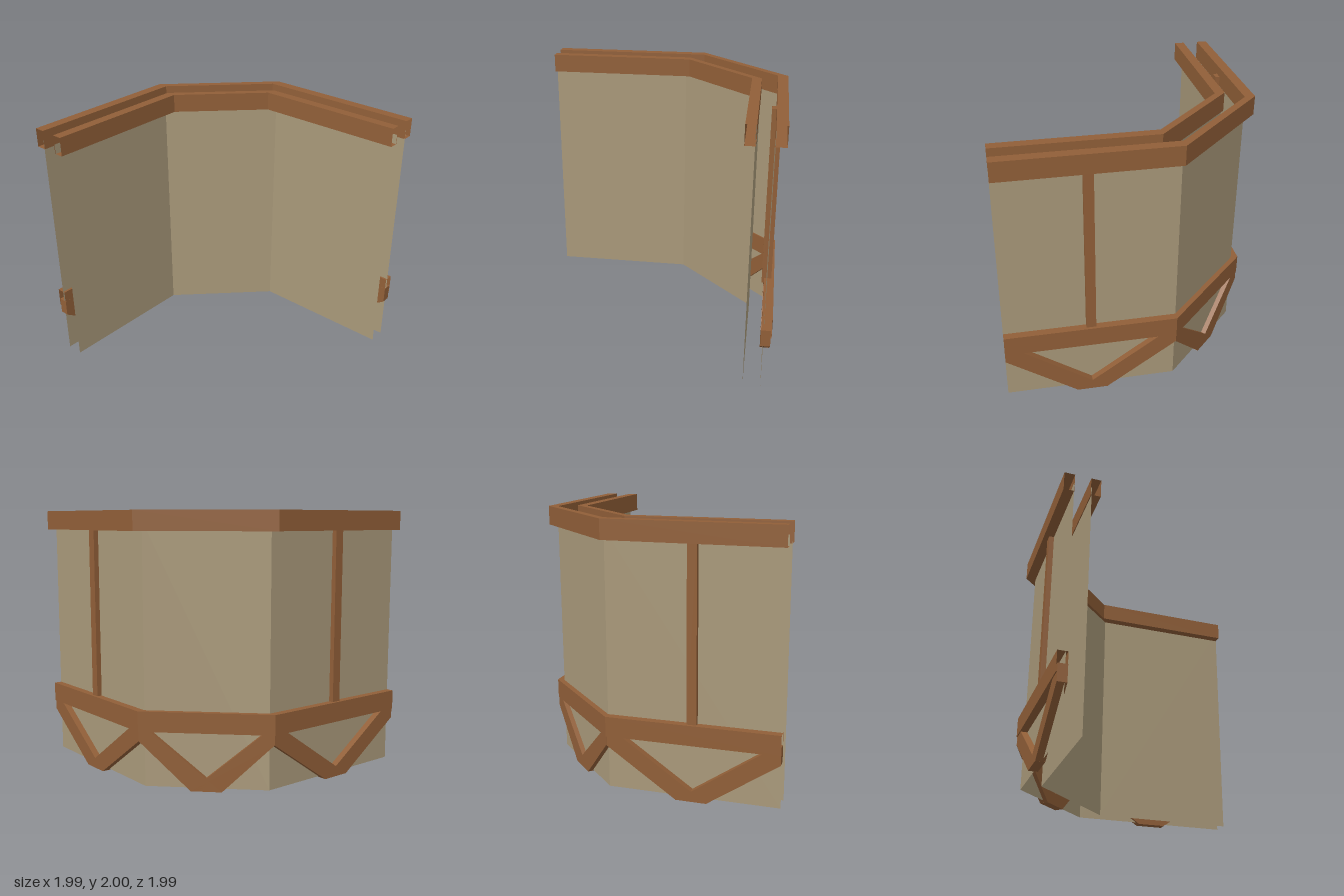
import * as THREE from 'three';

const END = 0.995; // how far both legs run

export function createModel() {
  const model = new THREE.Group();
  model.name = 'cornerWall';
  const wood = new THREE.MeshStandardMaterial({ color: 0x915f38, side: THREE.DoubleSide });
  wood.name = 'timber brown';
  const plaster = new THREE.MeshStandardMaterial({ color: 0xa9997a, side: THREE.DoubleSide });
  plaster.name = 'plaster tan';

  const add = (parent, name, geometry, material) => {
    const mesh = new THREE.Mesh(geometry, material);
    mesh.name = name;
    parent.add(mesh);
    return mesh;
  };

  // Plan line: back leg, chamfered corner, side leg
  const plan = (d, c) => [[-END, -d], [c, -d], [d, -c], [d, END]];

  // Sweep of a section [[d, y], ...] along the plan, open at both ends
  const sweep = (section, c, closed) => {
    const lines = section.map(([d, y]) => plan(d, c).map(([x, z]) => [x, y, z]));
    const pos = [];
    const n = section.length;
    for (let i = 0; i < 3; i++) {
      for (let j = 0; j < (closed ? n : n - 1); j++) {
        const k = (j + 1) % n;
        const [p, q, r, s] = [lines[j][i], lines[k][i], lines[k][i + 1], lines[j][i + 1]];
        pos.push(...p, ...q, ...r, ...p, ...r, ...s);
      }
    }
    const g = new THREE.BufferGeometry();
    g.setAttribute('position', new THREE.Float32BufferAttribute(pos, 3));
    g.computeVertexNormals();
    return g;
  };
  const rail = (name, dOut, dIn, c, y0, y1) =>
    add(model, name, sweep([[dOut, y0], [dOut, y1], [dIn, y1], [dIn, y0]], c, true), wood);
  const wall = (name, d, c) =>
    add(model, name, sweep([[d, 0.015], [d, 1.93]], c, false), plaster);

  // Two wall skins and their rails
  wall('outerWall', 0.917, 0.28);
  wall('innerWall', 0.787, 0.14);
  rail('outerTopRail', 0.993, 0.914, 0.28, 1.855, 2);
  rail('innerTopRail', 0.793, 0.718, 0.173, 1.855, 2);
  rail('lowerRail', 0.975, 0.9, 0.28, 0.43, 0.58);

  // One slanted brace, side = 1 or -1
  const brace = (side, half, top, depth) => {
    const run = (top + 0.115) / 0.43;
    const pts = [[0.113, 0], [half, 0.36], [half, 0.49], [top + 0.06 * run, 0.49], [-0.115, 0]];
    const shape = new THREE.Shape(pts.map(([x, y]) => new THREE.Vector2(side * x, y)));
    return new THREE.ExtrudeGeometry(shape, { depth, bevelEnabled: false });
  };

  // Each wall face: turn, centre, distance outwards, half length, brace top, post
  const faces = [
    { name: 'back', turn: 0, x: -0.3575, z: 0, out: 0.968, half: 0.6375, top: 0.51, post: true },
    { name: 'corner', turn: -Math.PI / 4, x: 0, z: 0, out: 0.884, half: 0.488, top: 0.4, post: false },
    { name: 'side', turn: -Math.PI / 2, x: 0, z: 0.3575, out: 0.968, half: 0.6375, top: 0.51, post: true },
  ];
  for (const f of faces) {
    const group = new THREE.Group();
    group.name = f.name + 'Frame';
    group.position.set(f.x, 0, f.z);
    group.rotation.y = f.turn;
    for (const side of [1, -1]) {
      const b = add(group, f.name + 'Brace', brace(side, f.half, f.top, 0.07), wood);
      b.position.z = -f.out;
    }
    if (f.post) {
      const p = add(group, f.name + 'Post', new THREE.BoxGeometry(0.071, 1.39, 0.073), wood);
      p.position.set(0, 1.235, -0.918);
    }
    model.add(group);
  }
  return model;
}
